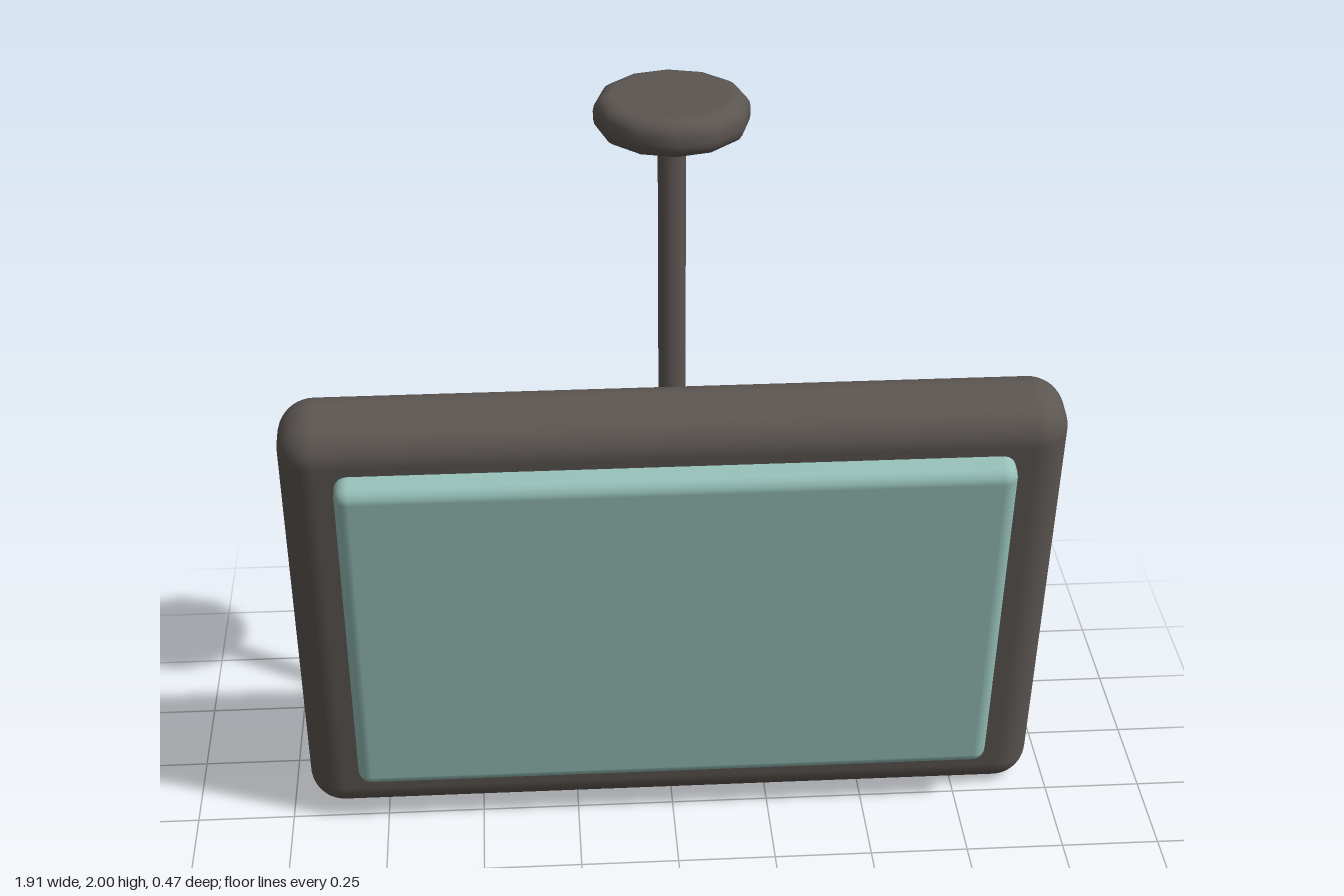
import * as THREE from 'three';
import { RoundedBoxGeometry } from 'three/addons/geometries/RoundedBoxGeometry.js';

export function createModel() {
  const model = new THREE.Group();
  const dark = new THREE.MeshStandardMaterial({ color: 0x5c5652 });
  const glass = new THREE.MeshStandardMaterial({ color: 0x96c0b8 });

  const add = (parent, name, geometry, material, x, y, z) => {
    const mesh = new THREE.Mesh(geometry, material);
    mesh.name = name;
    mesh.position.set(x, y, z);
    parent.add(mesh);
    return mesh;
  };

  // Display, tilted so that it looks downward
  const display = new THREE.Group();
  display.name = 'display';
  display.position.set(0, 0.632, -0.027);
  display.rotation.x = THREE.MathUtils.degToRad(10);
  model.add(display);
  add(display, 'housing', new RoundedBoxGeometry(1.91, 1.274, 0.225, 5, 0.09), dark, 0, 0, 0);
  add(display, 'screen', new RoundedBoxGeometry(1.64, 0.999, 0.1, 4, 0.035), glass, 0, 0.025, 0.129);

  // Ceiling pole
  add(model, 'pole', new THREE.CylinderGeometry(0.033, 0.033, 0.73, 8), dark, 0, 1.57, -0.024);

  // Twelve-sided ceiling plate with a rounded rim
  const radius = 0.182, half = 0.045, bevel = 0.036;
  const profile = [new THREE.Vector2(0, -half), new THREE.Vector2(radius - bevel - 0.004, -half)];
  for (const side of [-1, 1]) {
    for (let i = 0; i <= 4; i++) {
      const a = (side < 0 ? i - 4 : i) * Math.PI / 8;
      profile.push(new THREE.Vector2(
        radius - bevel + bevel * Math.cos(a),
        side * (half - bevel) + bevel * Math.sin(a)));
    }
  }
  profile.push(new THREE.Vector2(radius - bevel - 0.004, half), new THREE.Vector2(0, half));
  add(model, 'ceilingPlate', new THREE.LatheGeometry(profile, 12), dark, 0, 1.955, -0.024);

  return model;
}
